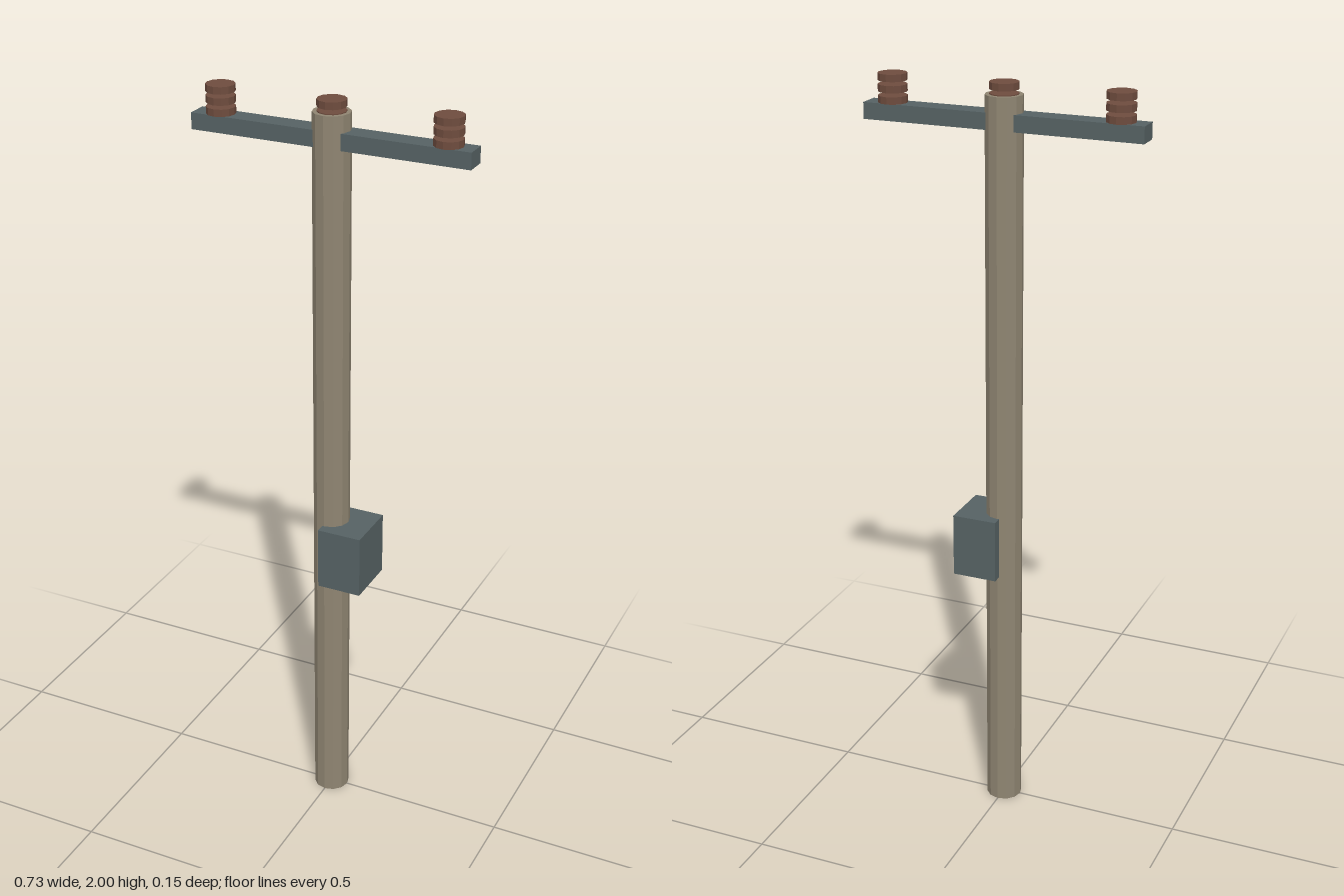
import * as THREE from 'three';

export function createModel() {
  const mat = (name, color) => {
    const m = new THREE.MeshStandardMaterial({ color, flatShading: true });
    m.name = name;
    return m;
  };
  const concrete = mat('weathered pole', 0x8f8572);
  const metal = mat('grey metal', 0x566264);
  const ceramic = mat('brown ceramic', 0x6e4c3e);

  const root = new THREE.Group();
  root.name = 'utilityPole';
  const add = (parent, name, geometry, material, x, y, z = 0) => {
    const mesh = new THREE.Mesh(geometry, material);
    mesh.name = name;
    mesh.position.set(x, y, z);
    parent.add(mesh);
    return mesh;
  };

  // Upright, crossarm and transformer box
  add(root, 'pole', new THREE.CylinderGeometry(0.048, 0.048, 1.97, 12), concrete, 0, 0.985);
  add(root, 'crossarm', new THREE.BoxGeometry(0.734, 0.042, 0.058), metal, 0, 1.906);
  add(root, 'transformerBox', new THREE.BoxGeometry(0.12, 0.17, 0.148), metal, 0.055, 0.78);

  // Three insulators, each a stack of three separate discs
  const disc = new THREE.CylinderGeometry(0.037, 0.037, 0.018, 12);
  for (const x of [-0.299, 0, 0.299]) {
    const insulator = new THREE.Group();
    insulator.name = 'insulator';
    insulator.position.x = x;
    for (let i = 0; i < 3; i++) add(insulator, 'insulatorDisc', disc, ceramic, 0, 1.936 + i * 0.0275);
    root.add(insulator);
  }
  return root;
}
